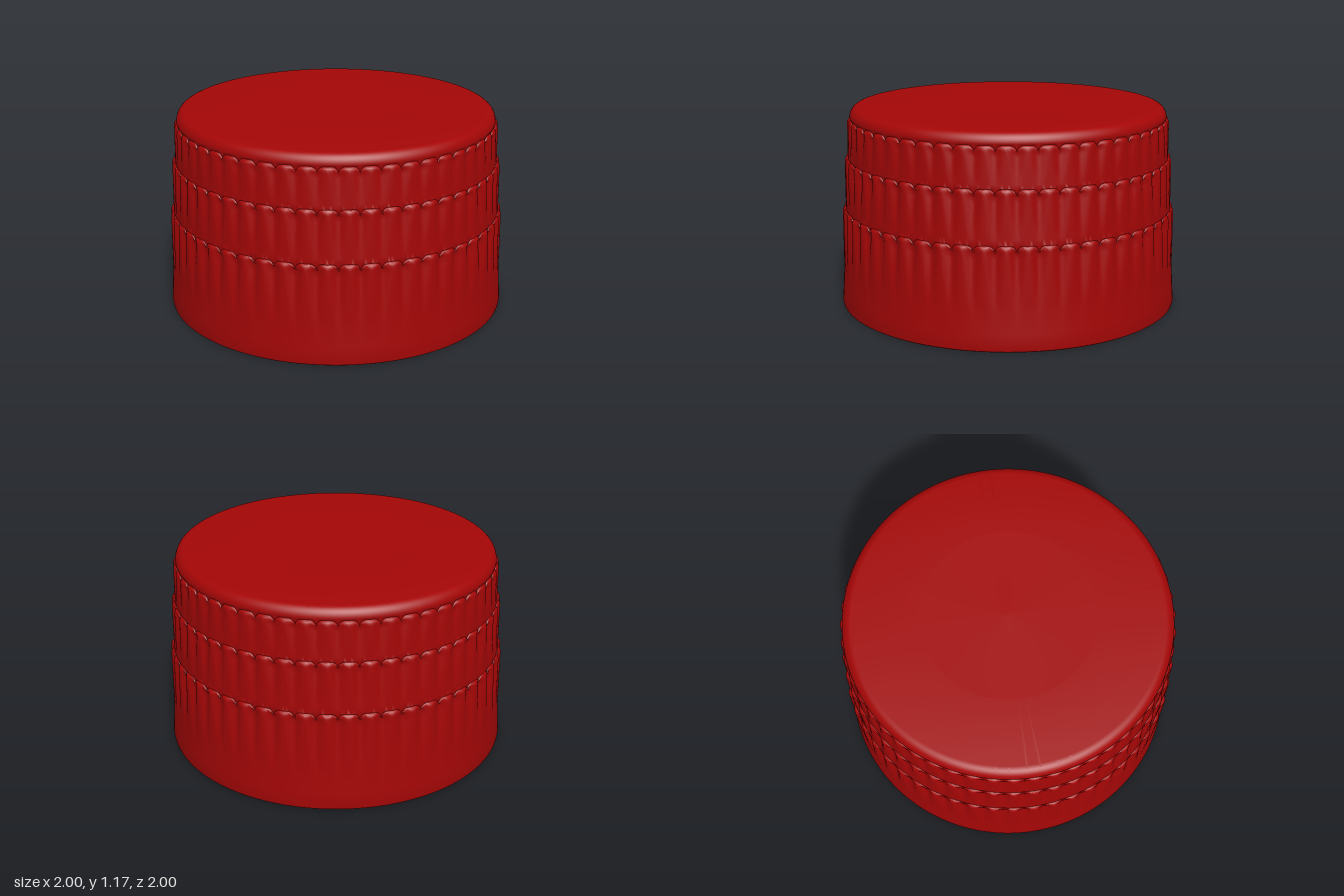
import * as THREE from 'three';
import { toCreasedNormals } from 'three/addons/utils/BufferGeometryUtils.js';

const RIBS = 52, PER_RIB = 12, COLUMNS = RIBS * PER_RIB;

export function createModel() {
  const group = new THREE.Group();
  group.name = 'bottleCap';
  const material = new THREE.MeshStandardMaterial({ color: 0xa40606 });

  // Profile rows: [radius, height, groove depth, groove drop, groove sharpness]
  const rows = [];
  const add = (r, y, depth = 0, drop = 0, power = 1) => rows.push([r, y, depth, drop, power]);

  // Hollow inside: flat ceiling, rounded corner, straight wall
  add(0, 1.04);
  for (let i = 0; i <= 8; i++) {
    const a = (i / 8) * Math.PI / 2;
    add(0.835 + 0.1 * Math.sin(a), 0.94 + 0.1 * Math.cos(a));
  }
  add(0.948, 0.04);

  // Rounded rim
  add(0.952, 0.02);
  add(0.962, 0.006);
  add(0.975, 0);
  add(0.99, 0);
  add(0.998, 0.005);
  add(1.0, 0.015);

  // Flared plain skirt
  add(0.994, 0.1);

  // Three stepped tiers of ribs: grooves widen and deepen towards rounded tops
  const tier = (r0, r1, y0, y1, depth) => {
    const shoulder = y1 - 0.03;
    for (let i = 0; i <= 8; i++) {
      const t = i / 8;
      add(r0 + (r1 - r0) * t, y0 + (shoulder - y0) * t, depth * t, 0.012 * t * t, 3 - 2 * t);
    }
    for (let i = 1; i <= 4; i++) {
      const a = (i / 4) * Math.PI / 2;
      add(r1 - 0.018 * (1 - Math.cos(a)), shoulder + 0.03 * Math.sin(a),
        depth * (1 - 0.75 * Math.sin(a)), 0.012 + 0.014 * Math.sin(a));
    }
  };
  tier(0.987, 0.985, 0.22, 0.58, 0.024);
  tier(0.966, 0.964, 0.58, 0.88, 0.022);
  tier(0.945, 0.943, 0.88, 1.108, 0.016);

  // Smooth rounded shoulder and slightly dished top
  for (let i = 0; i <= 8; i++) {
    const a = (i / 8) * Math.PI / 2;
    add(0.872 + 0.056 * Math.cos(a), 1.115 + 0.06 * Math.sin(a));
  }
  add(0.5, 1.172);
  add(0, 1.17);

  // Revolve, then press the grooves into the wall between ribs
  const points = rows.map(([r, y]) => new THREE.Vector2(r, y));
  const lathe = new THREE.LatheGeometry(points, COLUMNS);
  const pos = lathe.attributes.position;
  for (let i = 0; i < pos.count; i++) {
    const [r, y, depth, drop, power] = rows[i % rows.length];
    const column = Math.floor(i / rows.length) % COLUMNS;
    const s = Math.abs((column % PER_RIB) / PER_RIB * 2 - 1);
    const valley = Math.pow((1 - Math.cos(Math.PI * s)) / 2, power);
    const radius = r - depth * valley;
    const angle = (column / COLUMNS) * Math.PI * 2;
    pos.setXYZ(i, radius * Math.sin(angle), y - drop * s ** 4, radius * Math.cos(angle));
  }

  const cap = new THREE.Mesh(toCreasedNormals(lathe, 0.75), material);
  cap.name = 'ribbedCapShell';
  group.add(cap);
  return group;
}
